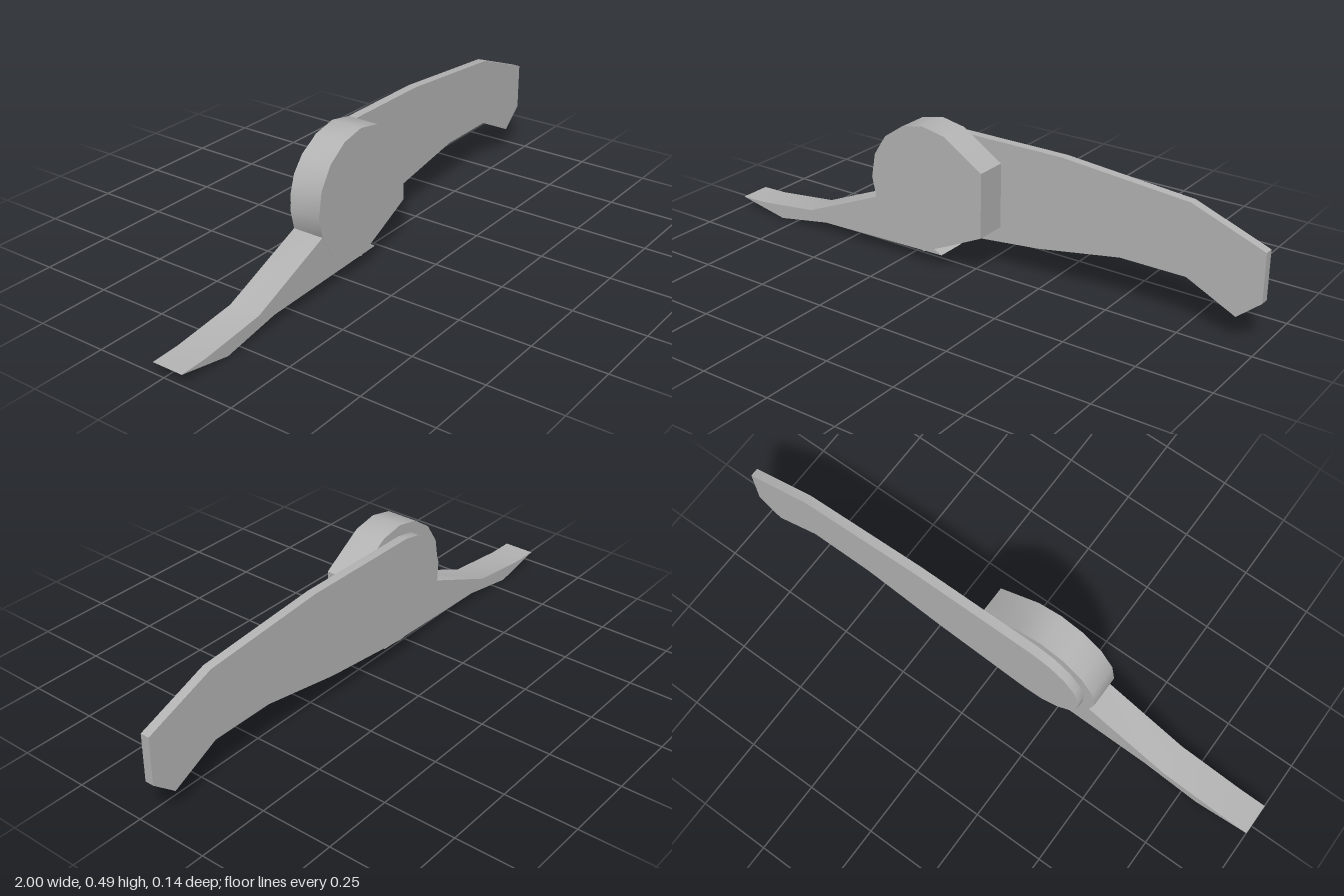
import * as THREE from 'three';
import { toCreasedNormals } from 'three/addons/utils/BufferGeometryUtils.js';

// Extrudes an outline of [x, y] points between two depths.
function slab(name, points, zBack, zFront, material) {
  const shape = new THREE.Shape(points.map(([x, y]) => new THREE.Vector2(x, y)));
  const geometry = new THREE.ExtrudeGeometry(shape, { depth: zFront - zBack, bevelEnabled: false });
  geometry.translate(0, 0, zBack);
  const mesh = new THREE.Mesh(toCreasedNormals(geometry, 0.6), material);
  mesh.name = name;
  return mesh;
}

// Points along an arc, angles in degrees.
function arc(cx, cy, r, from, to, steps) {
  return Array.from({ length: steps + 1 }, (_, i) => {
    const a = THREE.MathUtils.degToRad(from + ((to - from) * i) / steps);
    return [cx + r * Math.cos(a), cy + r * Math.sin(a)];
  });
}

export function createModel() {
  const group = new THREE.Group();
  group.name = 'hingedLever';
  const grey = new THREE.MeshStandardMaterial({ color: 0xb4b4b4 });
  grey.name = 'grey';

  // Thick round hub with a flat right side and a tapered underside
  group.add(slab('hub', [
    [0.07, 0.16], [0.07, 0.385],
    ...arc(-0.16, 0.275, 0.22, 68, 204, 6),
    [-0.315, 0.11], [-0.165, 0.05], [-0.07, 0.093],
  ], -0.04, 0.072, grey));

  // Low blade sweeping out to the side, with a web up to the hub
  group.add(slab('blade', [
    [-1, 0.04], [-0.81, 0.003], [-0.6, 0.04], [-0.09, 0.055],
    [-0.23, 0.12], [-0.3, 0.2], [-0.36, 0.2], [-0.67, 0.07], [-0.9, 0.043],
  ], -0.04, 0.0715, grey));

  // Thin long arm behind the hub
  group.add(slab('arm', [
    [0.22, 0.122], [0.52, 0.175], [0.75, 0.175], [0.92, 0.092], [1, 0.16],
    [1, 0.325], [0.75, 0.42], [0.3, 0.458],
    ...arc(-0.153, 0.27, 0.188, 90, 276, 9),
  ], -0.072, -0.041, grey));

  return group;
}
